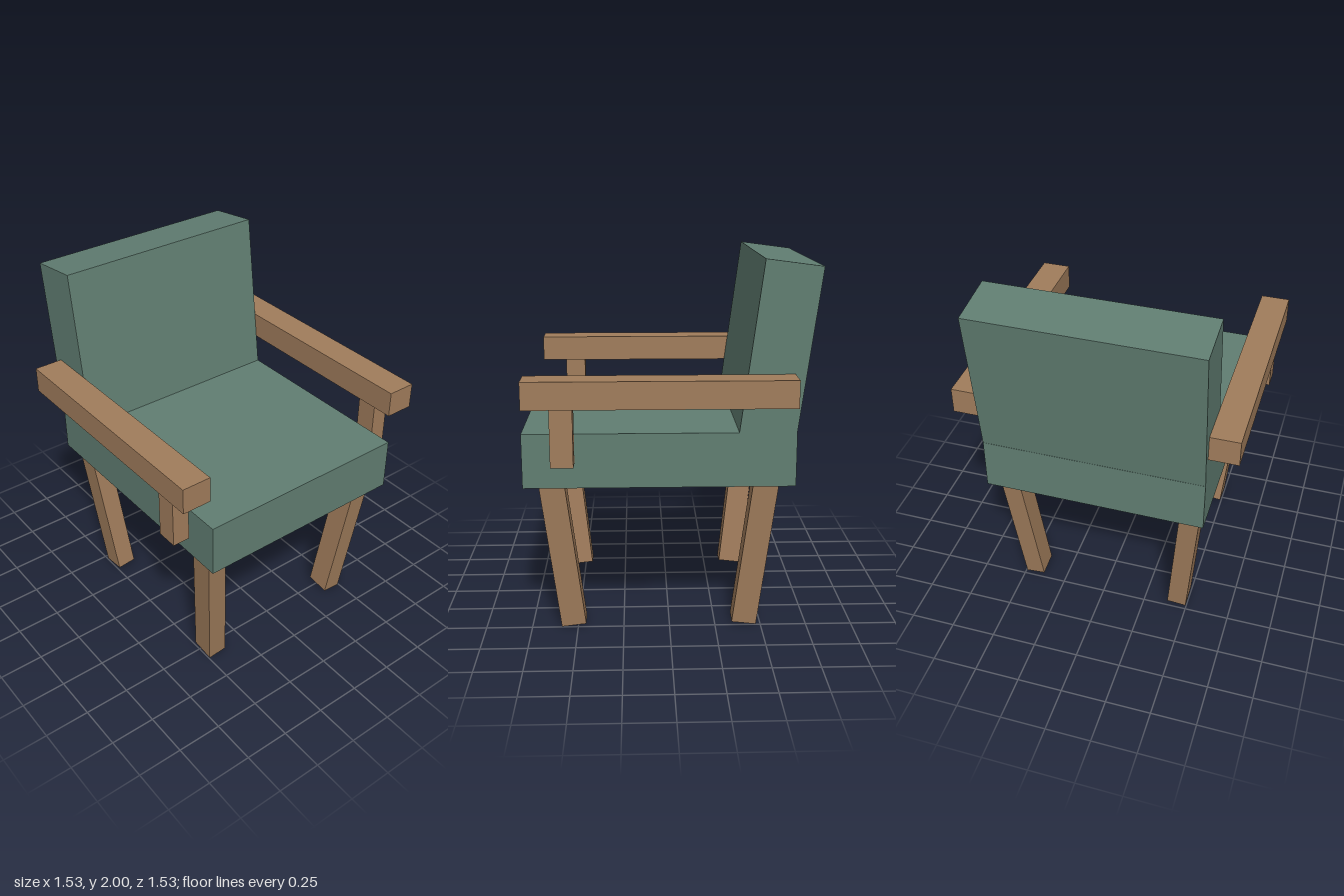
import * as THREE from 'three';

export function createModel() {
  const chair = new THREE.Group();
  chair.name = 'armchair';

  const fabric = new THREE.MeshStandardMaterial({ color: 0x617e72 });
  fabric.name = 'green fabric';
  const wood = new THREE.MeshStandardMaterial({ color: 0xa17d5c });
  wood.name = 'brown wood';

  function addBox(name, material, size, position) {
    const mesh = new THREE.Mesh(new THREE.BoxGeometry(...size), material);
    mesh.name = name;
    mesh.position.set(...position);
    chair.add(mesh);
    return mesh;
  }

  // Upholstery: seat block and a backrest leaning backwards out of it
  addBox('seat', fabric, [1.21, 0.29, 1.42], [0, 0.975, 0.055]);
  const backrest = addBox('backrest', fabric, [1.21, 0.95, 0.296], [0, 1.514, -0.556]);
  backrest.rotation.x = -0.13;

  // Splayed legs, placed by the centre of the foot and running up into the seat
  const legLength = 0.9;
  const leanX = 0.091;
  const leanZ = 0.116;
  function addLeg(name, side, end, footZ) {
    const leg = addBox(name, wood, [0.11, legLength, 0.134], [side * 0.44, 0.013, footZ]);
    leg.rotation.set(end * leanZ, 0, -side * leanX);
    const axis = new THREE.Vector3(0, 1, 0).applyEuler(leg.rotation);
    leg.position.addScaledVector(axis, legLength / 2);
  }

  // Arms, arm posts and legs mirrored on both sides
  for (const [label, side] of [['left', 1], ['right', -1]]) {
    addBox(label + 'Armrest', wood, [0.16, 0.143, 1.38], [side * 0.684, 1.353, 0.055]);
    addBox(label + 'ArmPost', wood, [0.095, 0.32, 0.117], [side * 0.684, 1.135, 0.55]);
    addLeg(label + 'FrontLeg', side, 1, 0.523);
    addLeg(label + 'BackLeg', side, -1, -0.409);
  }

  return chair;
}
